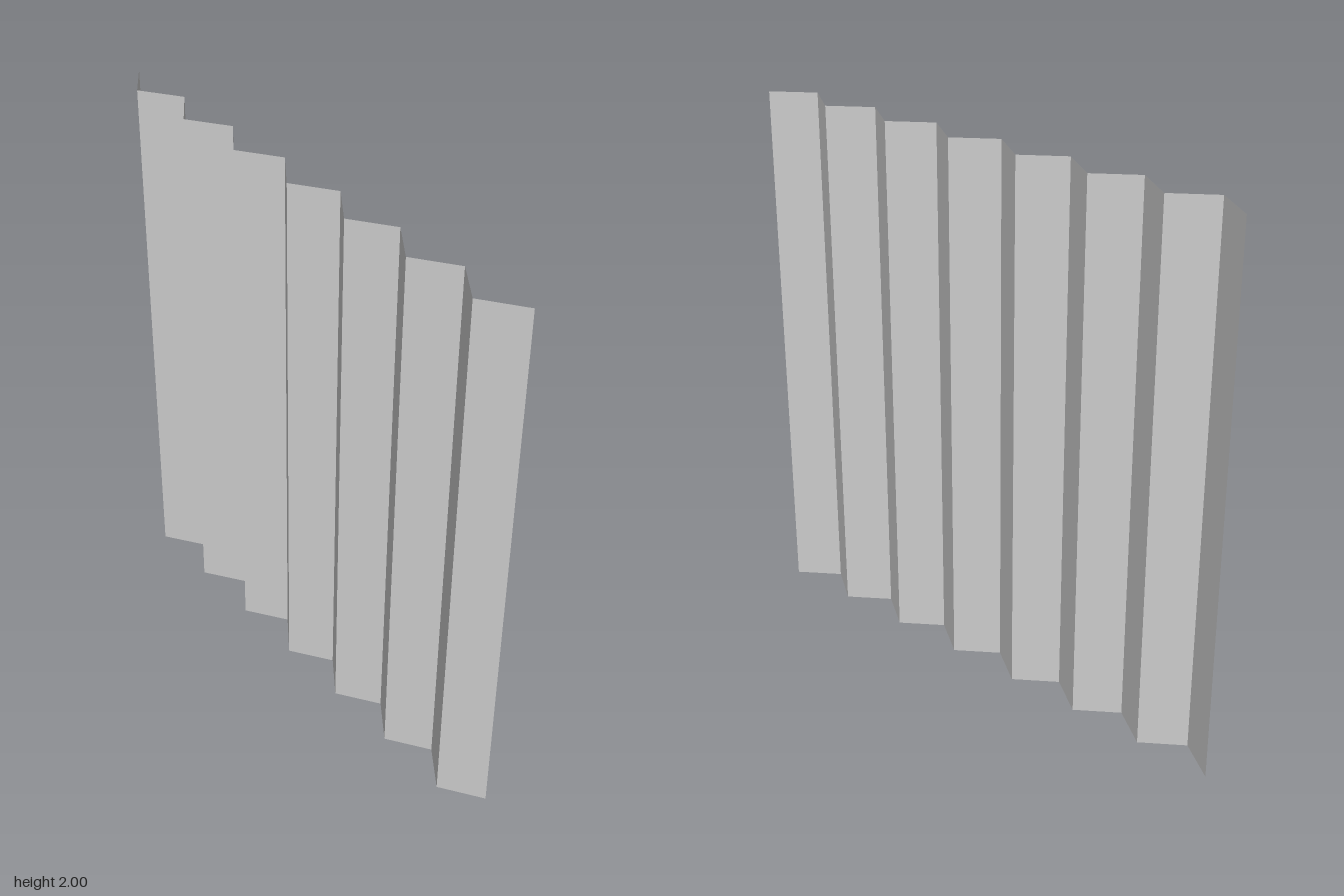
import * as THREE from 'three';

const PANELS = 14;
const HEIGHT = 2;
const LENGTH = 2;
const FOLD = 0.05; // sideways reach of each crease

export function createModel() {
  const group = new THREE.Group();
  group.name = 'foldedScreen';

  // One thin sheet running along z, creased into an even zigzag
  const sheet = new THREE.PlaneGeometry(LENGTH, HEIGHT, PANELS, 1);
  sheet.rotateY(Math.PI / 2);
  sheet.translate(0, HEIGHT / 2, 0);
  const pos = sheet.attributes.position;
  for (let i = 0; i < pos.count; i++) {
    const crease = Math.round((pos.getZ(i) / LENGTH + 0.5) * PANELS);
    pos.setX(i, crease % 2 === 0 ? FOLD : -FOLD);
  }

  // Separate corners per face keep the creases sharp
  const geometry = sheet.toNonIndexed();
  geometry.computeVertexNormals();

  const material = new THREE.MeshStandardMaterial({
    color: 0xcccccc,
    flatShading: true,
    side: THREE.DoubleSide,
  });
  const mesh = new THREE.Mesh(geometry, material);
  mesh.name = 'pleatedSheet';
  group.add(mesh);
  return group;
}
